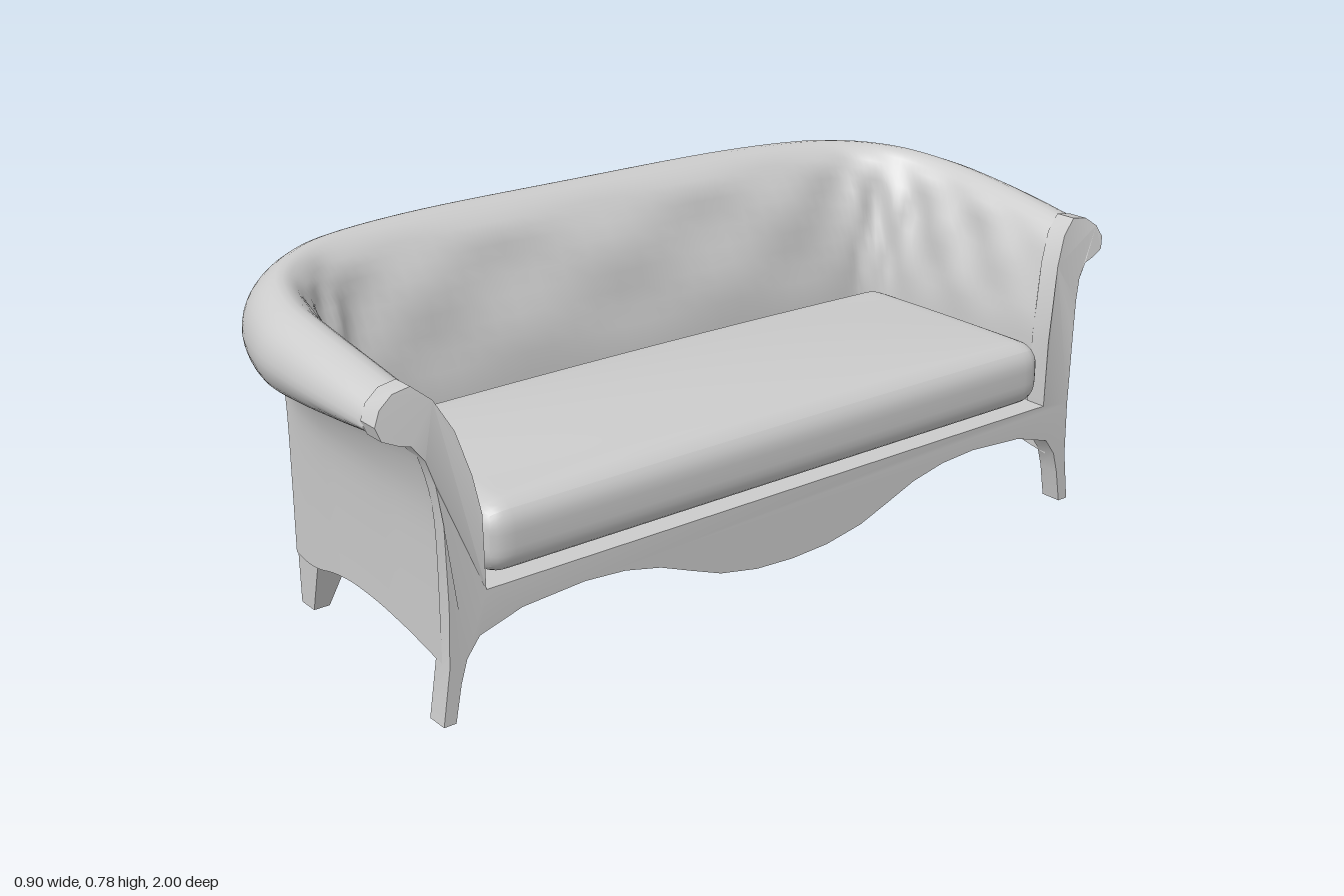
import * as THREE from 'three';
import { toCreasedNormals } from 'three/addons/utils/BufferGeometryUtils.js';

const mat = new THREE.MeshStandardMaterial({ color: 0xcccccc });
const matDouble = new THREE.MeshStandardMaterial({ color: 0xcccccc, side: THREE.DoubleSide });

// Plan stations from the arm front to the middle of the back:
// [inner x,z | wall x,z | roll x,z | blend arm->back | bottom edge y]
const half = [
  [0.42, 0.785, 0.42, 0.87, 0.37, 0.985, 0, 0.12],
  [0.25, 0.785, 0.25, 0.868, 0.25, 0.995, 0.24, 0.15],
  [0.1, 0.785, 0.1, 0.862, 0.1, 1.0, 0.46, 0.157],
  [-0.02, 0.78, 0, 0.858, -0.04, 0.99, 0.62, 0.147],
  [-0.08, 0.765, -0.11, 0.85, -0.2, 0.93, 0.78, 0.12],
  [-0.115, 0.735, -0.2, 0.843, -0.32, 0.81, 0.89, 0.12],
  [-0.128, 0.66, -0.205, 0.7, -0.4, 0.65, 0.95, 0.14],
  [-0.13, 0.4, -0.225, 0.4, -0.445, 0.4, 0.99, 0.148],
];
const stations = [
  ...half,
  [-0.13, 0, -0.235, 0, -0.455, 0, 0.98, 0.148],
  ...half.slice().reverse().map(([a, b, c, d, e, f, g, h]) => [a, -b, c, -d, e, -f, g, h]),
];

// Cross-section: up the inside, over the roll, down the outer wall
const U = [0, 0.015, 0.1, 0.23, 0.37, 0.57, 0.79, 0.945, 1, 0.93, 0.8];
const V = [0.47, 0.3, 0.135, 0.03, 0, 0];
const yArm = [0.25, 0.42, 0.5, 0.58, 0.64, 0.675, 0.67, 0.65, 0.62, 0.605, 0.595, 0.59, 0.57, 0.51, 0.43, 0.3];
const yBack = [0.25, 0.42, 0.55, 0.67, 0.745, 0.78, 0.76, 0.715, 0.655, 0.59, 0.55, 0.537, 0.53, 0.49, 0.43, 0.3];

function shellGeometry() {
  const spline = f => new THREE.CatmullRomCurve3(stations.map(f), false, 'catmullrom');
  const inner = spline(s => new THREE.Vector3(s[0], s[6], s[1]));
  const outer = spline(s => new THREE.Vector3(s[4], s[7], s[5]));
  const steps = (stations.length - 1) * 6;
  const rows = [];
  for (let i = 0; i <= steps; i++) {
    const t = i / steps, k = Math.min(Math.floor(i / 6), stations.length - 2), f = i / 6 - k;
    const pi = inner.getPoint(t), pr = outer.getPoint(t);
    const w = pi.y, bottom = pr.y;
    const po = new THREE.Vector3(stations[k][2], 0, stations[k][3])
      .lerp(new THREE.Vector3(stations[k + 1][2], 0, stations[k + 1][3]), f);
    pi.y = pr.y = 0;
    const pts = [];
    for (let j = 0; j < U.length + V.length; j++) {
      const p = j < U.length ? pi.clone().lerp(pr, U[j]) : po.clone().lerp(pr, V[j - U.length]);
      p.y = j < yArm.length ? THREE.MathUtils.lerp(yArm[j], yBack[j], w) : bottom;
      pts.push(p);
    }
    const section = new THREE.CatmullRomCurve3(pts, false, 'catmullrom');
    const n = (pts.length - 1) * 3;
    const out = pr.clone().sub(pi).normalize();
    const row = [];
    for (let j = 0; j <= n; j++) {
      const p = section.getPoint(j / n);
      // soft tufting on the inside
      if (j > 3 && j < 13) {
        const fade = Math.sin(Math.PI * (j - 3) / 10) * Math.min(1, Math.min(i, steps - i) / 10);
        p.addScaledVector(out, 0.013 * fade * Math.sin(i * 0.75) * Math.cos(j * 0.75));
      }
      row.push(p);
    }
    // bottom lip turned inward and up
    const lip = po.clone().lerp(pi, 0.45);
    row.push(lip.clone().setY(bottom), lip.clone().setY(0.23));
    rows.push(row);
  }
  const m = rows[0].length, index = [];
  for (let i = 0; i < steps; i++)
    for (let j = 0; j < m - 1; j++) {
      const a = i * m + j, b = a + m;
      index.push(a, b, a + 1, b, b + 1, a + 1);
    }
  const g = new THREE.BufferGeometry();
  g.setAttribute('position', new THREE.Float32BufferAttribute(rows.flat().flatMap(p => p.toArray()), 3));
  g.setIndex(index);
  return toCreasedNormals(g, 0.7);
}

// Apron and both front posts cut from one outline, leaning back at the top
function frontFrameGeometry() {
  const post = [
    [0.782, 0.262], [0.785, 0.42], [0.8, 0.5], [0.825, 0.59], [0.86, 0.655], [0.9, 0.688], [0.94, 0.682],
    [0.972, 0.66], [0.987, 0.632], [0.978, 0.605], [0.945, 0.59], [0.92, 0.583], [0.895, 0.55],
    [0.88, 0.5], [0.87, 0.42], [0.866, 0.25], [0.87, 0.12], [0.888, 0], [0.86, 0],
    [0.845, 0.08], [0.83, 0.13], [0.8, 0.17], [0.7, 0.2], [0.55, 0.21], [0.45, 0.203], [0.36, 0.183],
    [0.28, 0.152], [0.2, 0.122], [0.1, 0.103],
  ];
  const outline = [...post, [0, 0.098], ...post.slice().reverse().map(([z, y]) => [-z, y])];
  const shape = new THREE.Shape(outline.map(([z, y]) => new THREE.Vector2(z, y)));
  const g = new THREE.ExtrudeGeometry(shape, { depth: 0.05, bevelEnabled: false });
  g.rotateY(Math.PI / 2).translate(0.397, 0, 0);
  const p = g.attributes.position;
  for (let i = 0; i < p.count; i++) {
    const k = Math.max(0, (p.getY(i) - 0.38) / 0.3);
    p.setX(i, p.getX(i) - 0.046 * k * k);
  }
  return toCreasedNormals(g, 0.6);
}

// Rounded box with a crowned top
function cushionGeometry() {
  const h = [0.288, 0.076, 0.778], r = 0.055;
  const g = new THREE.BoxGeometry(h[0] * 2, h[1] * 2, h[2] * 2, 28, 10, 70);
  const p = g.attributes.position, v = new THREE.Vector3(), c = new THREE.Vector3();
  const core = new THREE.Vector3(h[0] - r, h[1] - r, h[2] - r);
  for (let i = 0; i < p.count; i++) {
    v.fromBufferAttribute(p, i);
    c.copy(v).clamp(core.clone().negate(), core);
    v.sub(c).setLength(r).add(c);
    const a = v.x / h[0], b = v.z / h[2];
    if (v.y > 0) v.y += 0.03 * (1 - a * a) * (1 - b * b) * v.y / h[1];
    p.setXYZ(i, v.x, v.y, v.z);
  }
  g.computeVertexNormals();
  return g.translate(0.16, 0.346, 0);
}

// Box whose top and bottom rectangles differ: [x0, x1, z0, z1]
function taperedLeg(top, bottom, height) {
  const g = new THREE.BoxGeometry(1, 1, 1), p = g.attributes.position;
  for (let i = 0; i < p.count; i++) {
    const up = p.getY(i) > 0, r = up ? top : bottom;
    p.setXYZ(i, p.getX(i) > 0 ? r[1] : r[0], up ? height : 0, p.getZ(i) > 0 ? r[3] : r[2]);
  }
  g.computeVertexNormals();
  return g;
}

export function createModel() {
  const sofa = new THREE.Group();
  sofa.name = 'sofa';
  const add = (name, geometry, material = mat) => {
    const mesh = new THREE.Mesh(geometry, material);
    mesh.name = name;
    sofa.add(mesh);
    return mesh;
  };
  add('rolledBackAndArms', shellGeometry(), matDouble);
  add('frontFrame', frontFrameGeometry());
  add('seatCushion', cushionGeometry());
  add('seatDeck', new THREE.BoxGeometry(0.59, 0.06, 1.64).translate(0.115, 0.232, 0));

  // Back legs under the two rear corners
  for (const s of [1, -1]) {
    const span = (a, b) => (s > 0 ? [a, b] : [-b, -a]);
    add(s > 0 ? 'backLegLeft' : 'backLegRight',
      taperedLeg([-0.198, -0.1, ...span(0.745, 0.841)], [-0.2, -0.148, ...span(0.8, 0.838)], 0.17));
  }
  return sofa;
}
